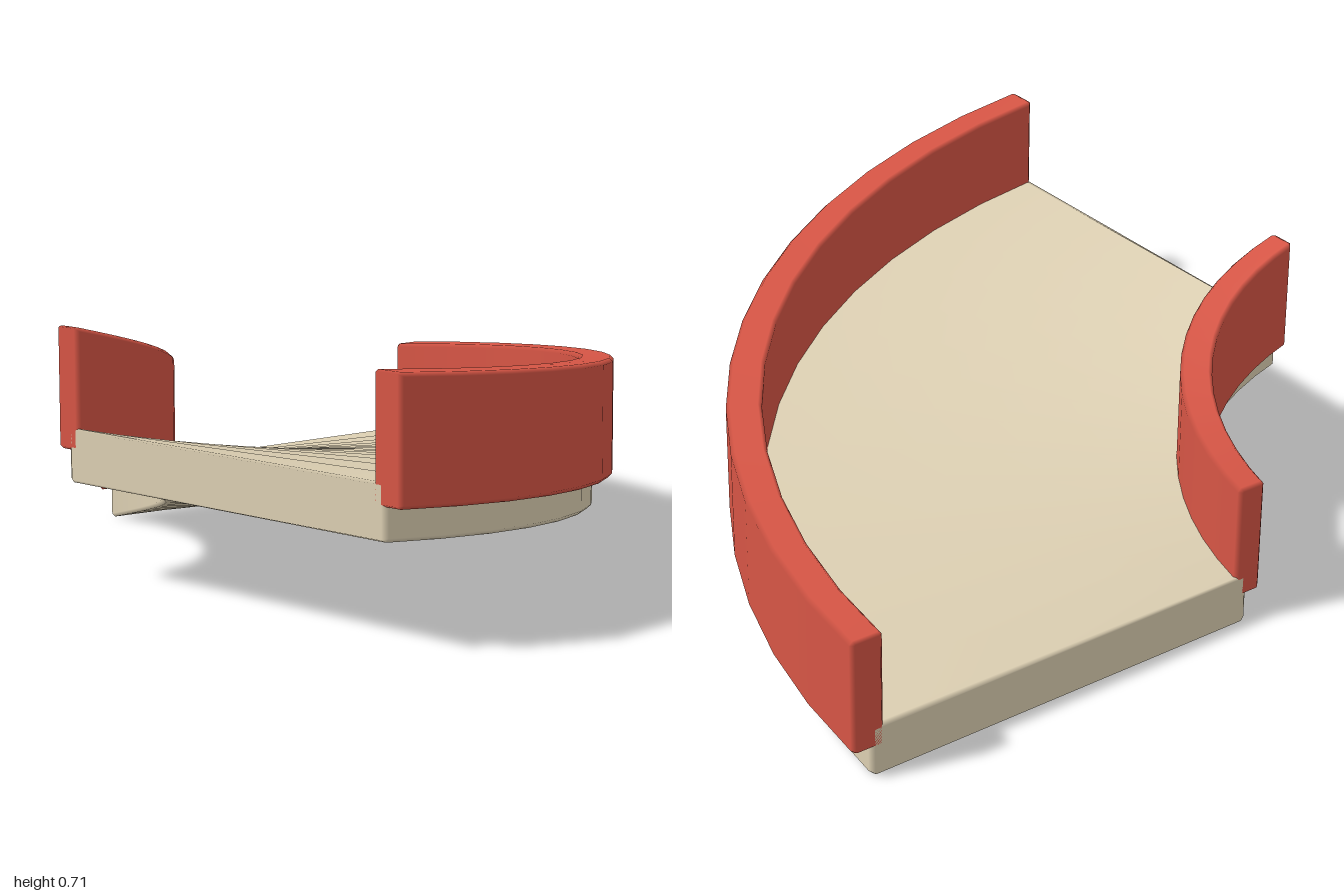
import * as THREE from 'three';

const CENTRE = -1;          // pivot of the quarter turn, in x and z
const RISE = 0.28;          // height gained over the turn
const TURN = Math.PI / 2;
const SEGMENTS = 14;
const BEVEL = 0.011;

// Chamfered rectangle: [radius, height, outward radius, outward height]
function chamferedRect(r0, r1, y0, y1, c) {
  return [
    [r0 + c, y0, 0, -1], [r1 - c, y0, 0, -1],
    [r1, y0 + c, 1, 0], [r1, y1 - c, 1, 0],
    [r1 - c, y1, 0, 1], [r0 + c, y1, 0, 1],
    [r0, y1 - c, -1, 0], [r0, y0 + c, -1, 0],
  ];
}

// Sweeps the rectangle up a quarter helix; flat faces keep their own normals,
// so the chamfers between them shade as rounded edges
function curvedSlab(r0, r1, y0, y1) {
  const b = BEVEL;
  const full = chamferedRect(r0, r1, y0, y1, b);
  const inset = chamferedRect(r0 + b, r1 - b, y0 + b / 2, y1 - b / 2, b * 0.2);
  const n = full.length;
  const eps = b / ((r0 + r1) / 2);

  // angle, profile, end direction (0 for the body, -1 and 1 for the caps)
  const sections = [[0, inset, -1], [eps, full, 0]];
  for (let i = 1; i < SEGMENTS; i++) sections.push([TURN * i / SEGMENTS, full, 0]);
  sections.push([TURN - eps, full, 0], [TURN, inset, 1]);

  const positions = [], normals = [], index = [];
  const normal = new THREE.Vector3();
  for (const [angle, profile, end] of sections) {
    const cos = Math.cos(angle), sin = Math.sin(angle);
    for (const [r, y, nr, ny] of profile) {
      positions.push(CENTRE + r * cos, y + RISE * angle / TURN, CENTRE + r * sin);
      const along = end || -ny * RISE / (TURN * r);
      if (end) normal.set(-sin * end, 0, cos * end);
      else normal.set(nr * cos - sin * along, ny, nr * sin + cos * along).normalize();
      normals.push(normal.x, normal.y, normal.z);
    }
  }
  // Long faces
  for (let s = 0; s < sections.length - 1; s++) {
    for (let i = 0; i < n; i++) {
      const a = s * n + i, d = s * n + (i + 1) % n;
      index.push(a, d, d + n, a, d + n, a + n);
    }
  }
  // End caps
  const last = (sections.length - 1) * n;
  for (let i = 1; i < n - 1; i++) {
    index.push(0, i + 1, i, last, last + i, last + i + 1);
  }
  const geometry = new THREE.BufferGeometry();
  geometry.setAttribute('position', new THREE.Float32BufferAttribute(positions, 3));
  geometry.setAttribute('normal', new THREE.Float32BufferAttribute(normals, 3));
  geometry.setIndex(index);
  return geometry;
}

export function createModel() {
  const model = new THREE.Group();
  model.name = 'curvedRamp';
  const red = new THREE.MeshStandardMaterial({ color: 0xd65545 });
  red.name = 'brick red';
  const sand = new THREE.MeshStandardMaterial({ color: 0xdccfb2 });
  sand.name = 'sand';

  // name, material, inner radius, outer radius, bottom, top
  const parts = [
    ['deck', sand, 0.69, 1.942, 0, 0.15],
    ['innerWall', red, 0.64, 0.73, 0.09, 0.43],
    ['outerWall', red, 1.9, 2.0, 0.09, 0.43],
  ];
  for (const [name, material, ...size] of parts) {
    const mesh = new THREE.Mesh(curvedSlab(...size), material);
    mesh.name = name;
    model.add(mesh);
  }
  return model;
}
